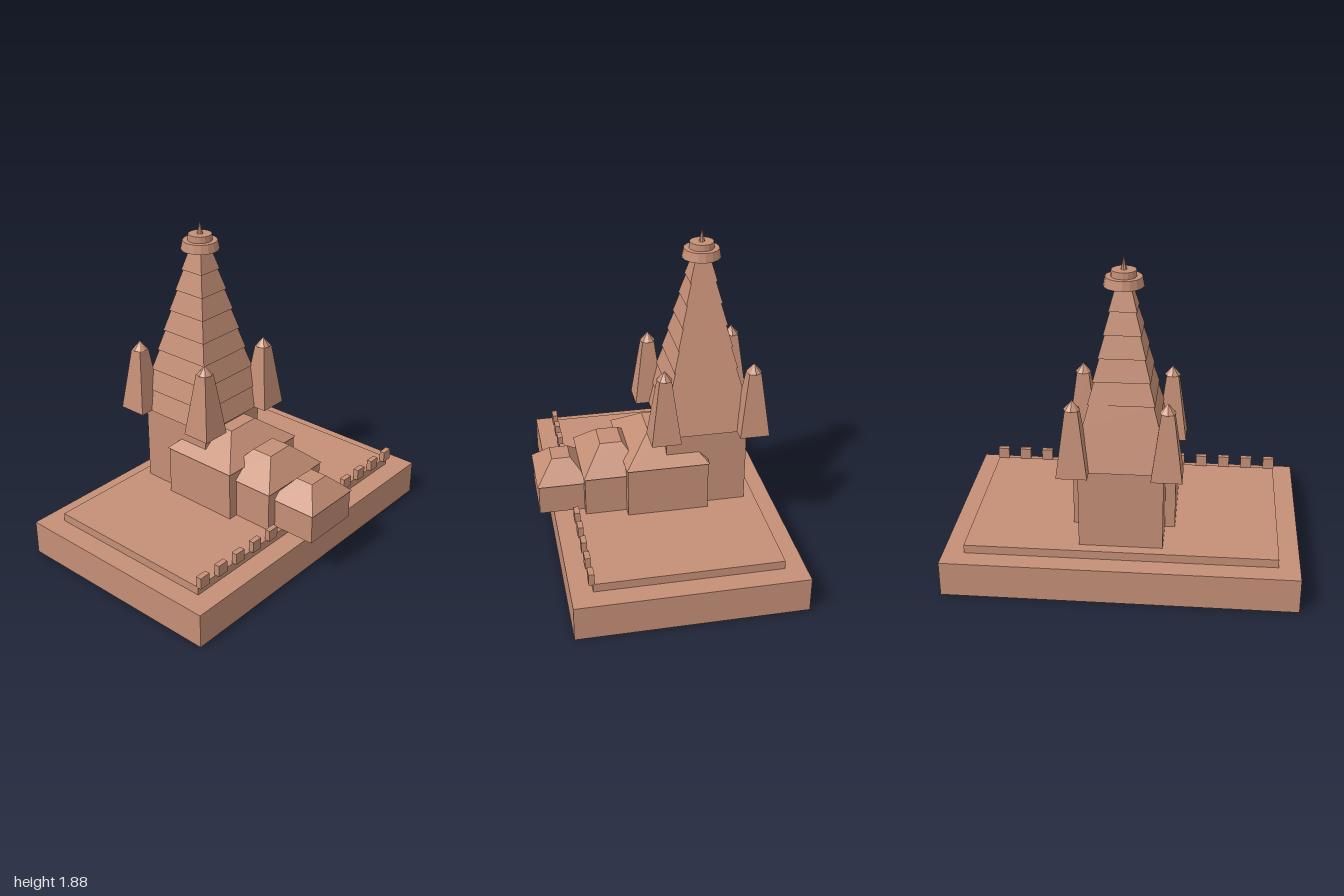
import * as THREE from 'three';

export function createModel() {
  const temple = new THREE.Group();
  temple.name = 'temple';
  const stone = new THREE.MeshStandardMaterial({ color: 0xc58f76, flatShading: true });
  stone.name = 'sandstone';

  function add(name, geometry, x, y, z, parent = temple) {
    const mesh = new THREE.Mesh(geometry, stone);
    mesh.name = name;
    mesh.position.set(x, y, z);
    parent.add(mesh);
    return mesh;
  }

  // Box given by half width, half depth and its bottom and top heights
  function block(name, hx, hz, y0, y1, x, z, parent) {
    return add(name, new THREE.BoxGeometry(hx * 2, y1 - y0, hz * 2), x, (y0 + y1) / 2, z, parent);
  }

  // Four-sided frustum; taper is the top size relative to the bottom
  function frustum(name, hx, hz, taper, y0, y1, x, z, parent) {
    const g = new THREE.CylinderGeometry(Math.SQRT2 * taper, Math.SQRT2, y1 - y0, 4);
    g.rotateY(Math.PI / 4).scale(hx, 1, hz);
    return add(name, g, x, (y0 + y1) / 2, z, parent);
  }

  function round(name, rTop, rBottom, y0, y1, sides, x, z, parent) {
    return add(name, new THREE.CylinderGeometry(rTop, rBottom, y1 - y0, sides), x, (y0 + y1) / 2, z, parent);
  }

  // Platform
  block('base', 1, 0.65, 0, 0.207, 0, -0.05);
  block('plinth', 0.88, 0.53, 0.207, 0.257, 0, -0.053);

  // Sanctum and stepped spire
  const cz = -0.285;
  block('sanctum', 0.235, 0.235, 0.257, 0.73, 0, cz);
  const spire = new THREE.Group();
  spire.name = 'spire';
  temple.add(spire);
  const tiers = 8, tierHeight = 0.985 / tiers;
  for (let i = 0; i < tiers; i++) {
    const w = 0.262 - i * 0.0265;
    const y = 0.73 + i * tierHeight;
    frustum('spireTier', w, w, (w - 0.034) / w, y, y + tierHeight, 0, cz, spire);
  }
  round('crownRing', 0.1, 0.11, 1.715, 1.767, 16, 0, cz, spire);
  round('crownDisc', 0.068, 0.07, 1.767, 1.803, 16, 0, cz, spire);
  round('finial', 0, 0.017, 1.803, 1.877, 8, 0, cz, spire);

  // Corner turrets
  for (const sx of [-1, 1]) {
    for (const sz of [-1, 1]) {
      const turret = new THREE.Group();
      turret.name = 'cornerTurret';
      temple.add(turret);
      const x = sx * 0.255, z = cz + sz * 0.255;
      frustum('turretBody', 0.085, 0.085, 0.41, 0.73, 1.107, x, z, turret);
      round('turretCap', 0, 0.045, 1.107, 1.16, 8, x, z, turret);
    }
  }

  // Three halls stepping down to the entrance: half width, half depth, eave, ridge, centre z
  const halls = [
    ['greatHall', 0.293, 0.235, 0.555, 0.703, -0.05],
    ['middleHall', 0.235, 0.175, 0.492, 0.633, 0.25],
    ['entrancePorch', 0.178, 0.145, 0.435, 0.55, 0.542],
  ];
  for (const [name, hx, hz, eave, ridge, z] of halls) {
    const hall = new THREE.Group();
    hall.name = name;
    temple.add(hall);
    block('hallWalls', hx, hz, 0.257, eave, 0, z, hall);
    frustum('hallRoof', hx + 0.008, hz + 0.008, 0.35, eave, ridge, 0, z, hall);
  }

  // Parapet blocks on either side of the porch
  for (const s of [-1, 1]) {
    for (let i = 0; i < 5; i++) {
      block('parapetBlock', 0.034, 0.016, 0.257, 0.325, s * (0.85 - i * 0.1417), 0.485);
    }
  }
  return temple;
}
